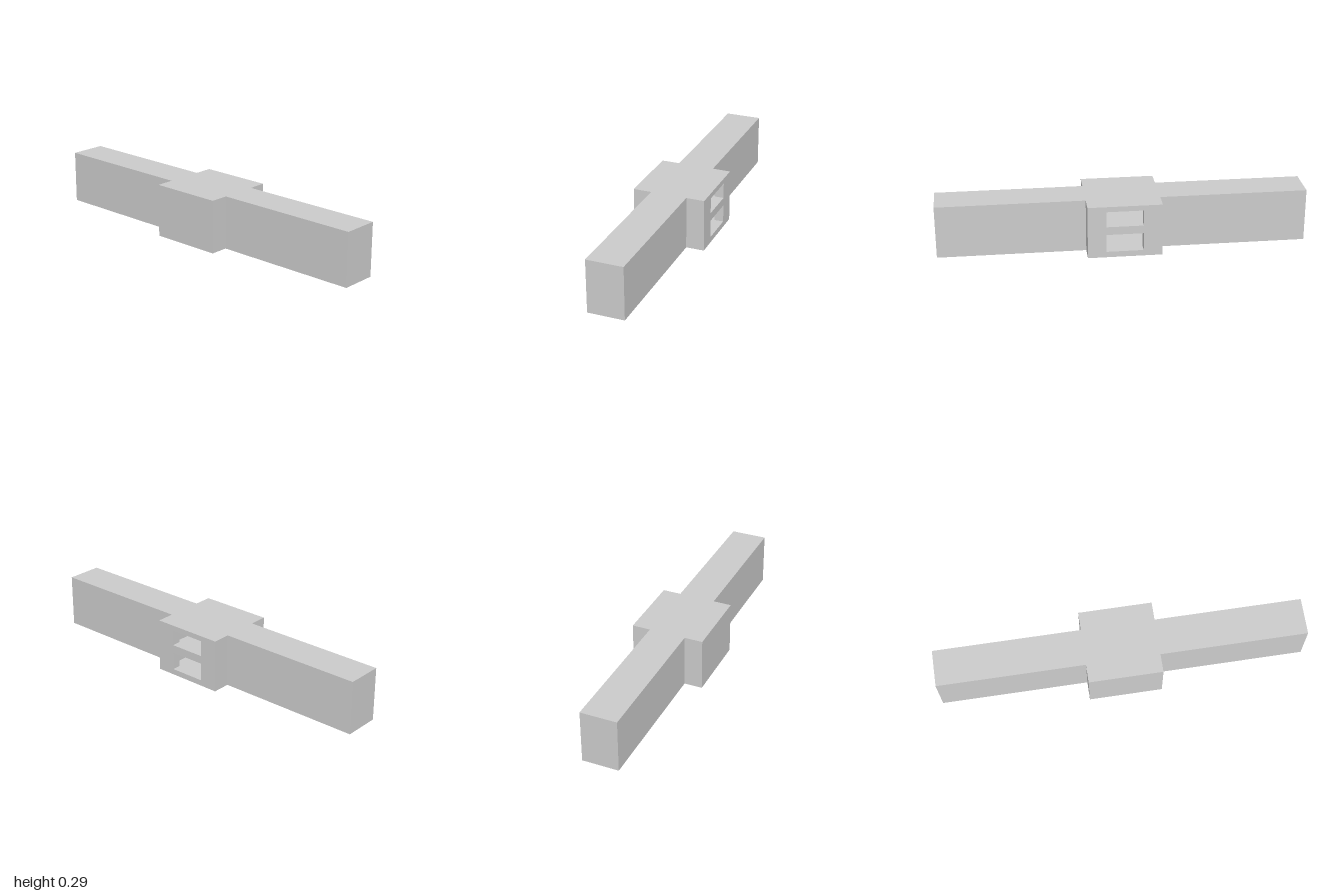
import * as THREE from 'three';
import { mergeGeometries } from 'three/addons/utils/BufferGeometryUtils.js';

const H = 0.292;
const material = new THREE.MeshStandardMaterial({ color: 0xcccccc, flatShading: true });

// Flat four-cornered face, corners counter-clockwise from its front
function quad(a, b, c, d) {
  const g = new THREE.BufferGeometry();
  g.setAttribute('position', new THREE.Float32BufferAttribute([a, b, c, a, c, d].flat(), 3));
  g.computeVertexNormals();
  return g;
}

const corners = ([x, y0, y1]) => [[-x, y0], [x, y0], [x, y1], [-x, y1]];
const toShape = (pts) => new THREE.Shape(pts.map(([x, y]) => new THREE.Vector2(x, y)));

// Flat panel from an outline with rectangular openings, facing +z
function panel(outline, holes = []) {
  const s = toShape(outline);
  holes.forEach((h) => s.holes.push(toShape(corners(h))));
  const g = new THREE.ShapeGeometry(s).toNonIndexed();
  g.deleteAttribute('uv');
  return g;
}

// Four inward-facing sides of a rectangular recess
function tunnel(rect, z0, z1) {
  const pts = corners(rect);
  return pts.map((p, i) => {
    const q = pts[(i + 1) % 4];
    return quad([...p, z1], [...q, z1], [...q, z0], [...p, z0]);
  });
}

export function createModel() {
  const group = new THREE.Group();
  const add = (name, parts) => {
    const mesh = new THREE.Mesh(mergeGeometries(parts), material);
    mesh.name = name;
    group.add(mesh);
  };

  // Plan outline (x, z): long bar with a wider central block
  const front = [[-1, 0.1], [-0.2, 0.1], [-0.2, 0.2], [0.2, 0.2], [0.2, 0.1], [1, 0.1]];
  const plan = [...front, ...front.map(([x, z]) => [-x, -z])];
  const walls = [];
  plan.forEach(([x, z], i) => {
    const [u, w] = plan[(i + 1) % plan.length];
    if (z === -0.2 && w === -0.2) return; // rear face has windows, added below
    walls.push(quad([x, 0, z], [u, 0, w], [u, H, w], [x, H, z]));
  });
  const outline = plan.slice().reverse().map(([x, z]) => [x, -z]);
  add('barWalls', walls);
  add('barTop', [panel(outline).rotateX(-Math.PI / 2).translate(0, H, 0)]);
  add('barUnderside', [panel(outline).rotateX(Math.PI / 2)]);

  // Rear face with two stacked windows: [half width, bottom, top]
  const windows = [[0.1, 0.032, 0.131], [0.1, 0.176, 0.263]];
  const chambers = [[0.15, 0.03, 0.133], [0.15, 0.155, 0.265]];
  add('rearFace', [panel(corners([0.2, 0, H]), windows).rotateY(Math.PI).translate(0, 0, -0.2)]);

  // Each window opens into a wider chamber behind the rear wall
  windows.forEach((win, i) => {
    const room = chambers[i];
    const name = i ? 'upper' : 'lower';
    add(name + 'WindowFrame', tunnel(win, -0.2, -0.15));
    add(name + 'Chamber', [
      ...tunnel(room, -0.15, 0.15),
      panel(corners(room), [win]).translate(0, 0, -0.15),
      panel(corners(room)).rotateY(Math.PI).translate(0, 0, 0.15),
    ]);
  });
  return group;
}
